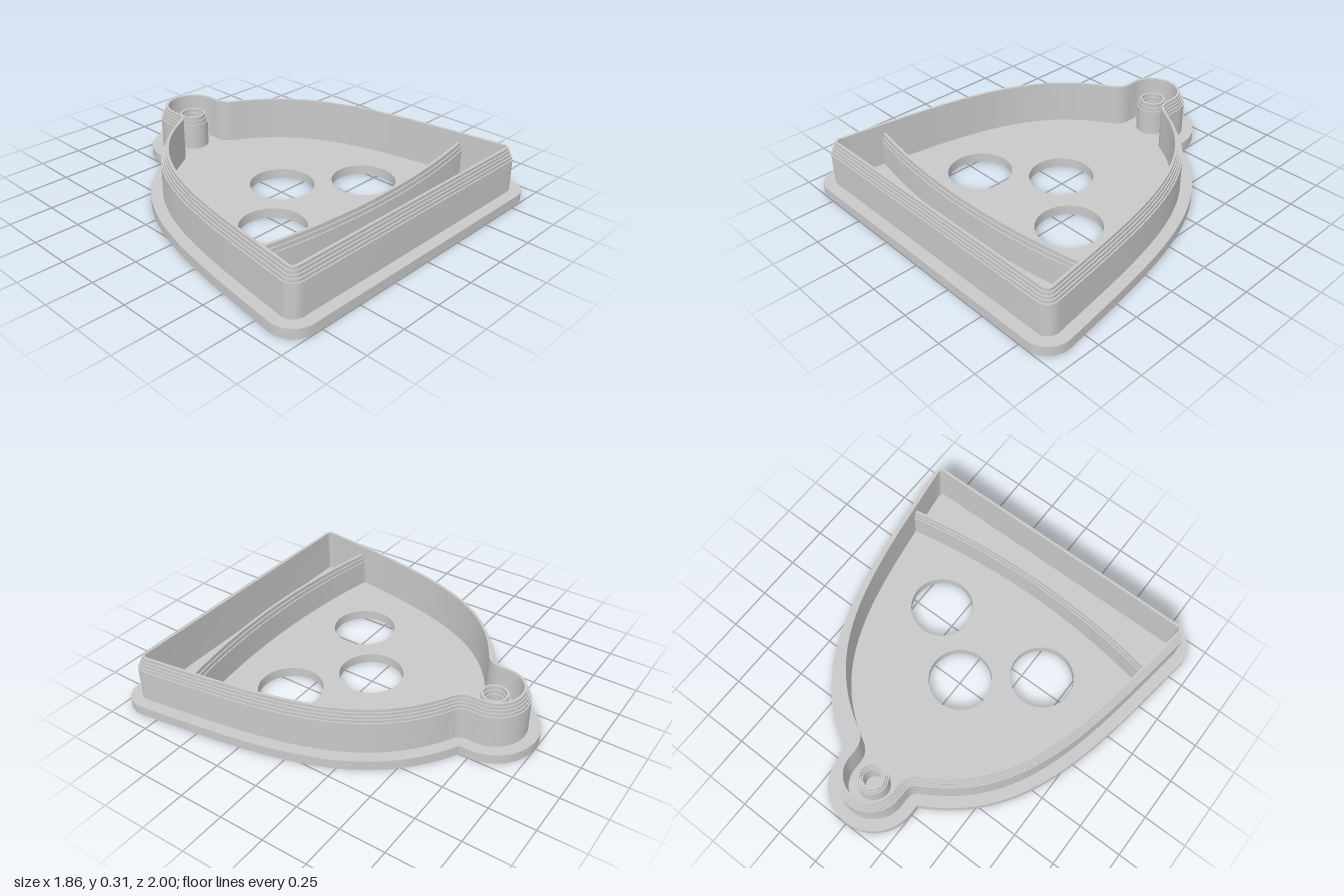
import * as THREE from 'three';
import { toCreasedNormals } from 'three/addons/utils/BufferGeometryUtils.js';

const V = (x, z) => new THREE.Vector2(x, z);
const BASE = 0.055, WALL_TOP = 0.305, INNER_TOP = 0.25;

// Side of the bell from neck to front corner, in x and z
const NECK = V(0.25, -0.70), FLARE = V(0.928, 0.85);
const side = new THREE.CubicBezierCurve(NECK, V(0.772, -0.42), V(0.825, 0.107), FLARE);
const inward = (t) => { const g = side.getTangent(t); return V(-g.y, g.x); };

function arc(cx, cz, r, a0, a1, n) {
  return Array.from({ length: n + 1 }, (_, i) => {
    const a = a0 + (a1 - a0) * i / n;
    return V(cx + r * Math.cos(a), cz + r * Math.sin(a));
  });
}

// Bell outline moved inwards by d, from the front right corner round the back to the left
function outline(d) {
  const nEnd = inward(1), nStart = inward(0), R = 0.13;
  const c = FLARE.clone().addScaledVector(nEnd, R);
  const half = arc(c.x, c.y, R - d, Math.PI / 2, Math.atan2(-nEnd.y, -nEnd.x), 10);
  for (let i = 39; i >= 0; i--) half.push(side.getPoint(i / 40).addScaledVector(inward(i / 40), d));
  half.push(...arc(NECK.x, NECK.y, d, Math.atan2(nStart.y, nStart.x), Math.PI, 8).slice(1));
  half.push(...arc(0, -0.75, 0.25 - d, 0, -Math.PI / 2, 20));
  const left = half.slice(0, -1).reverse().map((p) => V(-p.x, p.y));
  return [...half, ...left];
}

// Bowed line of the ridge, moved backwards by d
function bow(d) {
  return Array.from({ length: 41 }, (_, i) => {
    const x = -0.8 + 1.6 * i / 40;
    return V(x, 0.71 - d - 3.94 + Math.sqrt(3.94 ** 2 - x * x));
  });
}

// Stair-stepped edge: pairs of [offset, height] from (d0, y0) to (d1, y1)
function stairs(d0, y0, d1, y1, steps) {
  const pts = [];
  for (let i = 0; i < steps; i++) {
    const y = y0 + (y1 - y0) * i / steps;
    pts.push([d0 + (d1 - d0) * i / steps, y], [d0 + (d1 - d0) * (i + 1) / steps, y]);
  }
  return [...pts, [d1, y1]];
}

// Sweep a profile of [offset, height] along a path that can be offset
function sweep(path, profile, closed) {
  const rows = profile.map(([d]) => path(d));
  const n = rows[0].length, pos = [], index = [];
  rows.forEach((row, i) => row.forEach((p) => pos.push(p.x, profile[i][1], p.y)));
  for (let i = 0; i < rows.length - 1; i++) {
    for (let j = 0; j < (closed ? n : n - 1); j++) {
      const k = (j + 1) % n;
      const a = i * n + j, b = i * n + k, c = b + n, d = a + n;
      index.push(a, b, c, a, c, d);
    }
  }
  const geo = new THREE.BufferGeometry();
  geo.setAttribute('position', new THREE.Float32BufferAttribute(pos, 3));
  geo.setIndex(index);
  return geo;
}

export function createModel() {
  const group = new THREE.Group();
  const grey = new THREE.MeshStandardMaterial({ color: 0xc8c8c8 });
  grey.name = 'lightGrey';
  const add = (name, geo) => {
    const mesh = new THREE.Mesh(toCreasedNormals(geo, 0.45), grey);
    mesh.name = name;
    group.add(mesh);
  };

  // Flat base plate with three round holes
  const pts = outline(0).map((p) => V(p.x, -p.y));
  const shape = new THREE.Shape(pts.filter((p, i) => i === 0 || p.distanceTo(pts[i - 1]) > 1e-5));
  for (const [x, z] of [[0, 0.005], [-0.353, 0.293], [0.353, 0.293]]) {
    shape.holes.push(new THREE.Path().absarc(x, -z, 0.178, 0, Math.PI * 2, true));
  }
  const plate = new THREE.ExtrudeGeometry(shape, { depth: BASE, bevelEnabled: false, curveSegments: 32 });
  plate.rotateX(-Math.PI / 2);
  add('basePlate', plate);

  // Tall outer wall, stepped thinner on the outside of its rim
  add('cuttingWall', sweep(outline,
    [[0.065, BASE], ...stairs(0.065, 0.24, 0.095, WALL_TOP, 4), [0.11, WALL_TOP], [0.11, BASE]], true));

  // Lower bowed ridge, stepped on both faces
  const front = stairs(0, 0.205, 0.014, INNER_TOP, 2);
  const back = front.map(([d, y]) => [0.044 - d, y]).reverse();
  add('bowedRidge', sweep(bow, [[0, BASE], ...front, ...back, [0.044, BASE]], false));

  // Hollow post in the round top, stepped inside and out
  const outer = stairs(0.087, 0.205, 0.073, INNER_TOP, 2);
  const inner = stairs(0.047, 0.205, 0.06, INNER_TOP, 2).reverse();
  const post = new THREE.LatheGeometry(
    [[0.087, BASE], ...outer, ...inner, [0.047, BASE]].map(([r, y]) => V(r, y)), 40);
  post.translate(0, 0, -0.75);
  add('hollowPost', post);

  return group;
}
